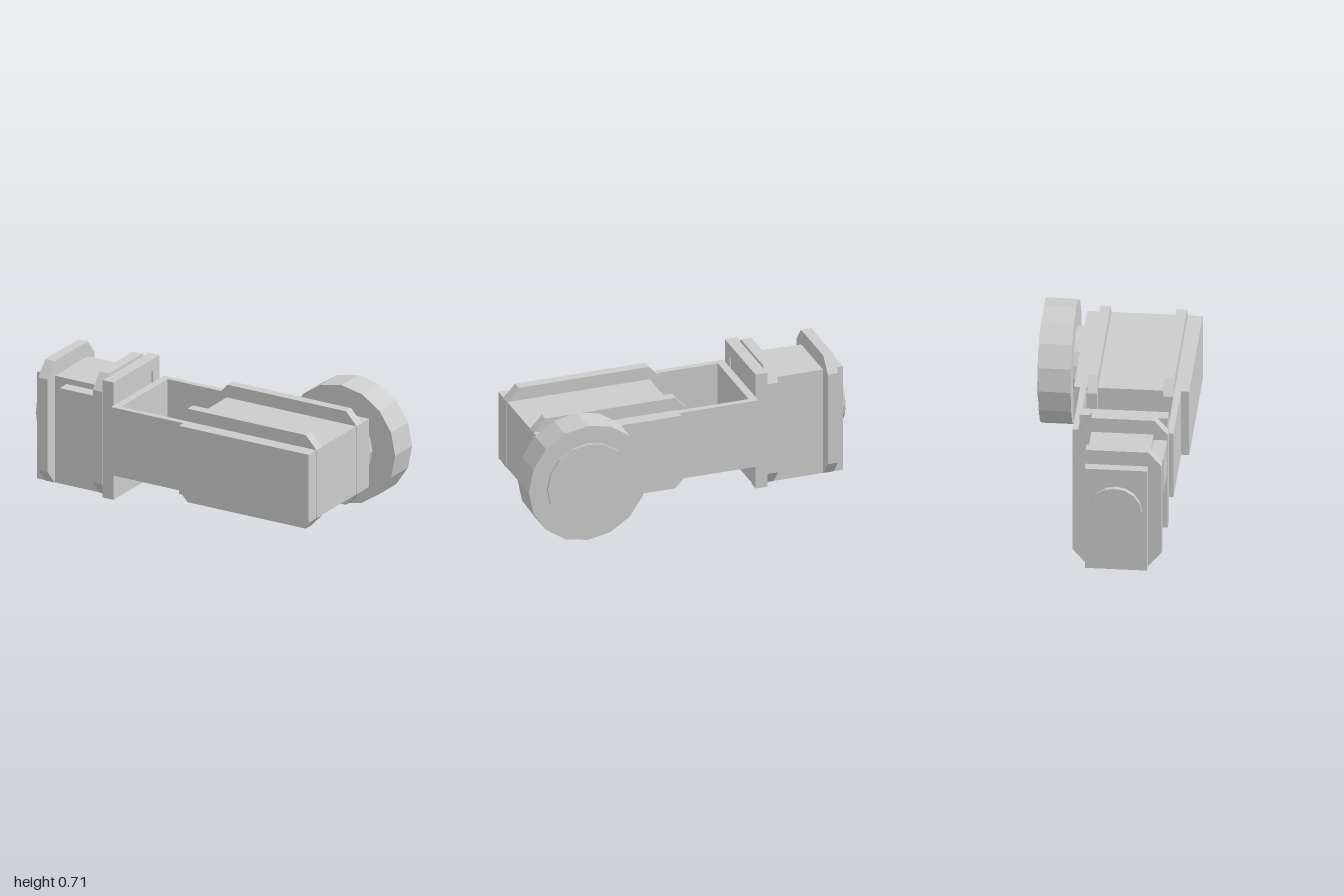
import * as THREE from 'three';

const material = new THREE.MeshStandardMaterial({ color: 0xcccccc, flatShading: true });

export function createModel() {
  const model = new THREE.Group();

  const add = (name, geometry) => {
    const mesh = new THREE.Mesh(geometry, material);
    mesh.name = name;
    model.add(mesh);
    return mesh;
  };

  // Box given by its extents on each axis
  const box = (name, [x0, x1], [y0, y1], [z0, z1]) =>
    add(name, new THREE.BoxGeometry(x1 - x0, y1 - y0, z1 - z0))
      .position.set((x0 + x1) / 2, (y0 + y1) / 2, (z0 + z1) / 2);

  // Rectangle with cut corners
  const chamfered = (u0, u1, v0, v1, cu, cv) => new THREE.Shape([
    [u0 + cu, v0], [u1 - cu, v0], [u1, v0 + cv], [u1, v1 - cv],
    [u1 - cu, v1], [u0 + cu, v1], [u0, v1 - cv], [u0, v0 + cv],
  ].map(([u, v]) => new THREE.Vector2(u, v)));

  const extrude = (shape, depth) =>
    new THREE.ExtrudeGeometry(shape, { depth, bevelEnabled: false });

  // Shape drawn in (z, y), extruded between x0 and x1
  const sideExtrude = (name, shape, x0, x1) =>
    add(name, extrude(shape, x1 - x0).rotateY(-Math.PI / 2)).position.set(x1, 0, 0);

  // Disc on the z axis
  const disc = (name, radius, z0, z1) => {
    const geometry = new THREE.CylinderGeometry(radius, radius, z1 - z0, 16)
      .rotateX(Math.PI / 2);
    add(name, geometry).position.set(0.652, 0.361, (z0 + z1) / 2);
  };

  // Main body with chamfered rails and a block underneath
  box('body', [0.025, 0.857], [0.165, 0.565], [-0.2, 0.435]);
  for (const [z0, z1] of [[-0.121, -0.066], [0.296, 0.354]]) {
    const rail = chamfered(-0.04, 0.86, 0.09, 0.64, 0.07, 0.075);
    add('rail', extrude(rail, z1 - z0)).position.z = z0;
  }
  box('lowerBlock', [0.22, 0.41], [0.09, 0.2], [0.055, 0.3]);

  // Open frame joining body and head
  box('backArm', [-0.44, 0.025], [0.165, 0.565], [-0.165, -0.13]);
  box('frontArm', [-0.44, 0.025], [0.165, 0.565], [0.354, 0.39]);
  box('endWall', [-0.44, -0.395], [0.165, 0.565], [-0.165, 0.39]);

  // Head, its raised front panel and two bands
  box('head', [-0.975, -0.45], [0.003, 0.63], [-0.05, 0.292]);
  box('frontPanel', [-0.785, -0.55], [0.385, 0.597], [0.2, 0.365]);
  for (const [x0, x1] of [[-0.92, -0.86], [-0.57, -0.508]]) {
    sideExtrude('band', chamfered(-0.123, 0.368, 0.003, 0.717, 0.072, 0.085), x0, x1);
  }

  // Collar around the head, open at the bottom
  const collar = new THREE.Shape([
    [-0.12, 0.01], [-0.05, 0.01], [-0.05, 0.63], [0.292, 0.63],
    [0.292, 0.01], [0.364, 0.01], [0.364, 0.7], [-0.12, 0.7],
  ].map(([z, y]) => new THREE.Vector2(z, y)));
  sideExtrude('collar', collar, -0.51, -0.44);

  // Round button on the end of the head
  add('endButton', new THREE.CylinderGeometry(0.146, 0.146, 0.03, 16).rotateZ(Math.PI / 2))
    .position.set(-0.985, 0.38, 0.118);

  // Wheel on the back
  disc('wheelHub', 0.2, -0.245, -0.19);
  disc('wheel', 0.346, -0.42, -0.242);
  disc('wheelCap', 0.241, -0.435, -0.41);

  return model;
}
